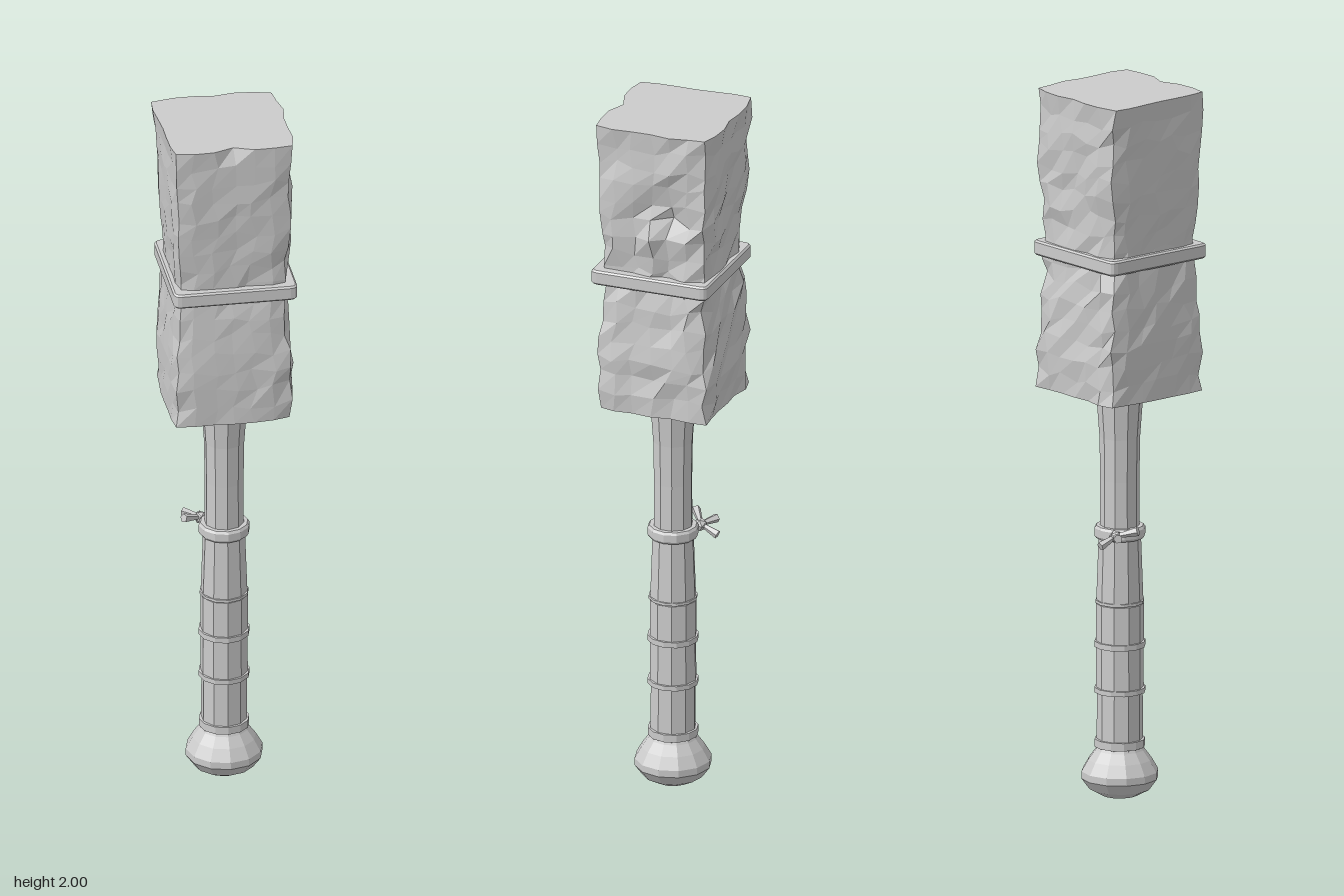
import * as THREE from 'three';

const stone = new THREE.MeshStandardMaterial({ color: 0xcccccc, flatShading: true });
stone.name = 'paleGrey';

// Repeatable noise in -1..1 from a position, so shared corners stay joined
function noise(x, y, z, seed) {
  const s = Math.sin(Math.round(x * 1000) * 12.9898 + Math.round(y * 1000) * 78.233
    + Math.round(z * 1000) * 37.719 + seed * 4.1414) * 43758.5453;
  return (s - Math.floor(s)) * 2 - 1;
}

// Linear lookup in a short list of [position, value] pairs
function sample(table, t) {
  for (let i = 1; i < table.length; i++) {
    const [a, va] = table[i - 1], [b, vb] = table[i];
    if (t <= b) return va + (vb - va) * Math.max(0, (t - a) / (b - a));
  }
  return table[table.length - 1][1];
}

function add(group, name, geometry) {
  const flat = geometry.index ? geometry.toNonIndexed() : geometry;
  flat.computeVertexNormals();
  const mesh = new THREE.Mesh(flat, stone);
  mesh.name = name;
  group.add(mesh);
  return mesh;
}

function lathe(points, sides) {
  return new THREE.LatheGeometry(points.map(([r, y]) => new THREE.Vector2(r, y)), sides);
}

// Rough-hewn block: calm front and left faces, chipped right and back faces
function headGeometry() {
  const y0 = 1.155, y1 = 2, h = 0.168;
  const waist = [[1.155, 0.165], [1.32, 0.166], [1.46, 0.158], [1.55, 0.151],
    [1.63, 0.155], [1.76, 0.164], [2, 0.168]];
  const g = new THREE.BoxGeometry(2 * h, y1 - y0, 2 * h, 6, 16, 6);
  const p = g.attributes.position;
  for (let i = 0; i < p.count; i++) {
    const bx = p.getX(i), y = p.getY(i) + (y0 + y1) / 2, bz = p.getZ(i);
    const k = sample(waist, y) / h;
    let x = bx * k, z = bz * k, ny = y;
    const onX = Math.abs(bx) > h - 1e-4, onZ = Math.abs(bz) > h - 1e-4;
    const cap = y > y1 - 1e-4 || y < y0 + 1e-4;
    const n1 = noise(bx, y, bz, 1), n2 = noise(bx, y, bz, 2), n3 = noise(bx, y, bz, 3);
    if (onX) x += n1 * (bx > 0 ? 0.008 : 0.003);
    if (onZ) z += n2 * (bz < 0 ? 0.008 : 0.003);
    if (onX && onZ) { // worn vertical corners
      const chip = 0.005 + 0.008 * Math.abs(n3);
      x -= Math.sign(bx) * chip;
      z -= Math.sign(bz) * chip;
    }
    if (!cap && (onX || onZ)) {
      ny += n3 * 0.012;
      if (!onX) x += n1 * 0.012;
      if (!onZ) z += n2 * 0.012;
    }
    if (onX && bx > 0 && !onZ) { // gouge and bulge on the right face
      x -= 0.03 * Math.max(0, 1 - Math.hypot((y - 1.76) / 0.1, (bz + 0.056) / 0.08));
      x += 0.024 * Math.max(0, 1 - Math.hypot((y - 1.68) / 0.07, bz / 0.06));
    }
    if (y > 1.9 && bx < 0 && bz < 0 && onX) x -= 0.016 * (y - 1.9) * 10 * (-bz / h);
    if (y > y1 - 1e-4 && onZ && bz > 0 && Math.abs(bx) < 0.01) z -= 0.02;
    p.setXYZ(i, x, ny, z);
  }
  return g;
}

// Strap around the waist of the head
function bandGeometry() {
  const a = 0.172, r = 0.02, s = new THREE.Shape();
  s.moveTo(-a + r, -a);
  s.lineTo(a - r, -a); s.quadraticCurveTo(a, -a, a, -a + r);
  s.lineTo(a, a - r); s.quadraticCurveTo(a, a, a - r, a);
  s.lineTo(-a + r, a); s.quadraticCurveTo(-a, a, -a, a - r);
  s.lineTo(-a, -a + r); s.quadraticCurveTo(-a, -a, -a + r, -a);
  const g = new THREE.ExtrudeGeometry(s, { depth: 0.032, curveSegments: 3,
    bevelEnabled: true, bevelThickness: 0.005, bevelSize: 0.005, bevelOffset: -0.005, bevelSegments: 1 });
  g.rotateX(-Math.PI / 2);
  g.translate(0.004, 1.533, 0.004);
  return g;
}

export function createModel() {
  const model = new THREE.Group();
  model.name = 'mallet';

  add(model, 'head', headGeometry());
  add(model, 'headBand', bandGeometry());

  // Shaft flares into the head
  add(model, 'shaft', lathe([[0.055, 0.7], [0.054, 0.9], [0.056, 1.02], [0.064, 1.13], [0.066, 1.17]], 10));

  // Wrapped grip in overlapping sections
  const grip = new THREE.Group();
  grip.name = 'grip';
  model.add(grip);
  const sections = [[0.13, 0.302, 0.064, 0.063], [0.302, 0.43, 0.066, 0.065],
    [0.43, 0.55, 0.066, 0.066], [0.55, 0.75, 0.065, 0.058]];
  for (const [a, b, ra, rb] of sections)
    add(grip, 'gripWrap', lathe([[ra - 0.01, a], [ra, a + 0.002], [rb, b - 0.002], [rb - 0.01, b]], 10));
  for (const [y, r, h] of [[0.305, 0.071, 0.014], [0.435, 0.071, 0.016], [0.555, 0.068, 0.008], [0.155, 0.07, 0.022]])
    add(grip, 'gripRing', lathe([[0.05, y - h / 2], [r, y - h / 2], [r, y + h / 2], [0.05, y + h / 2]], 12));

  // Tied cord with knot and two loose ends
  const cord = new THREE.Group();
  cord.name = 'cord';
  model.add(cord);
  add(cord, 'cordRing', lathe([[0.05, 0.735], [0.066, 0.735], [0.071, 0.742], [0.071, 0.763],
    [0.066, 0.77], [0.05, 0.77]], 12));
  const knot = add(cord, 'knot', new THREE.IcosahedronGeometry(0.019, 0));
  knot.position.set(-0.055, 0.755, -0.06);
  for (const end of [[-0.108, 0.775, -0.025], [-0.05, 0.735, -0.112], [-0.1, 0.762, -0.09]]) {
    const from = new THREE.Vector3(-0.055, 0.757, -0.06), to = new THREE.Vector3(...end);
    const tail = add(cord, 'cordEnd', new THREE.CylinderGeometry(0.013, 0.006, from.distanceTo(to), 5));
    tail.position.copy(from).lerp(to, 0.5);
    tail.quaternion.setFromUnitVectors(new THREE.Vector3(0, 1, 0), to.sub(from).normalize());
  }

  // Pommel
  add(model, 'pommel', lathe([[0, 0], [0.05, 0.006], [0.085, 0.025], [0.107, 0.055], [0.107, 0.075],
    [0.088, 0.108], [0.068, 0.135], [0.06, 0.15]], 12));
  return model;
}
